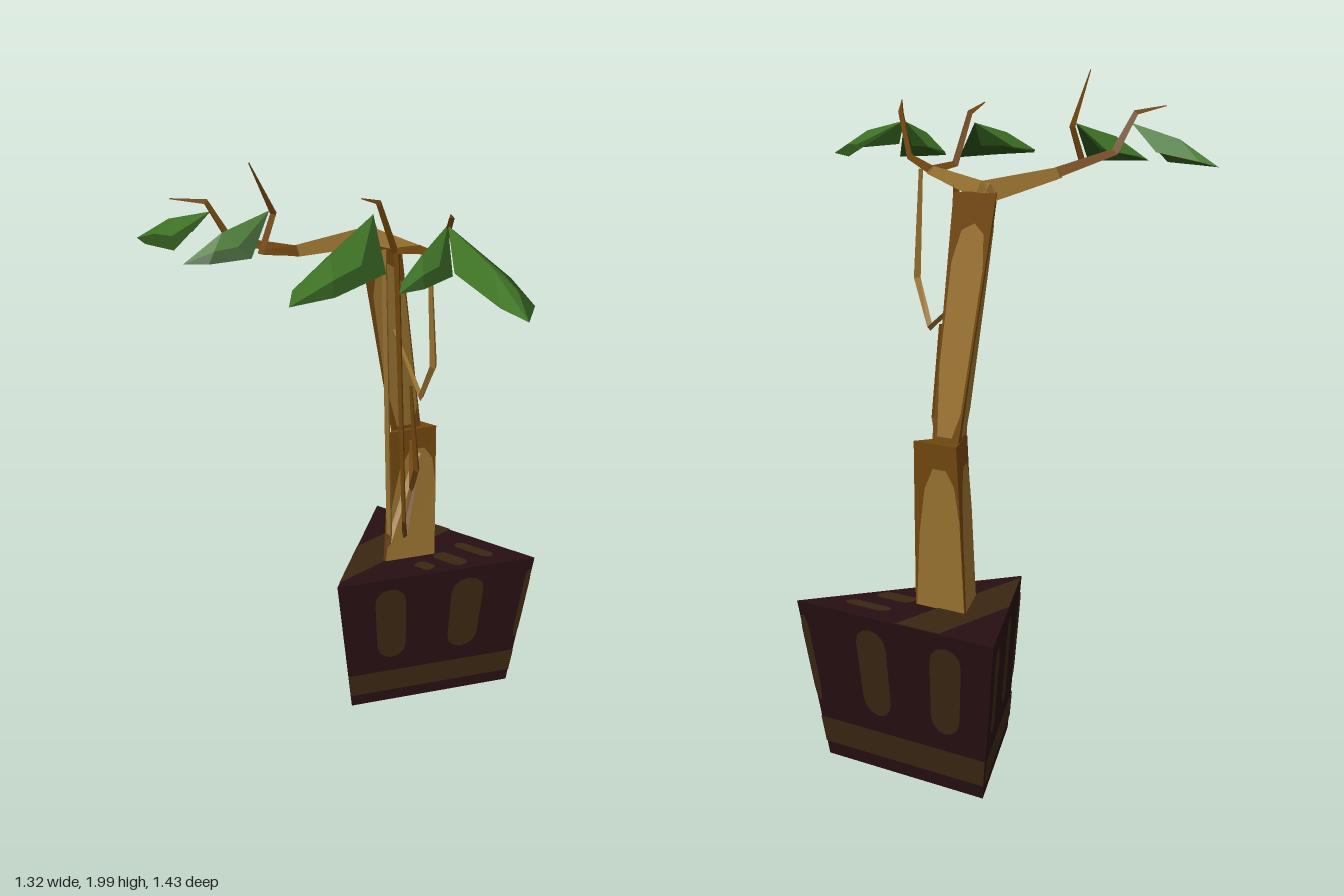
import * as THREE from 'three';

const V = (x, y, z) => new THREE.Vector3(x, y, z);
const mat = (name, color, extra = {}) => new THREE.MeshStandardMaterial({ name, color, ...extra });

export function createModel() {
  const root = new THREE.Group();
  root.name = 'pottedTree';
  const M = {
    pot: mat('darkClay', 0x270f12),
    stripe: mat('brownGlaze', 0x3a2611),
    bark: mat('lightBark', 0x977130),
    barkDark: mat('darkBark', 0x70460f),
    leaf: mat('leafGreen', 0x3f7426, { side: THREE.DoubleSide }),
    leafDark: mat('darkLeafGreen', 0x2a4f1a, { side: THREE.DoubleSide }),
  };

  // Flat-shaded mesh from a list of corner points, three per triangle
  const add = (name, points, material, parent = root) => {
    const g = new THREE.BufferGeometry().setFromPoints(points);
    g.computeVertexNormals();
    const m = new THREE.Mesh(g, material);
    m.name = name;
    parent.add(m);
    return m;
  };

  // Joins three-cornered rings and caps both ends
  const loft = (rings) => {
    const out = [];
    for (let k = 0; k < rings.length - 1; k++) {
      const a = rings[k], b = rings[k + 1];
      for (let i = 0; i < 3; i++) {
        const j = (i + 1) % 3;
        out.push(a[i], a[j], b[j], a[i], b[j], b[i]);
      }
    }
    const s = rings[0], e = rings[rings.length - 1];
    out.push(s[0], s[2], s[1], e[0], e[1], e[2]);
    return out;
  };

  // Thin painted patch: an outline in (u, v) mapped on a four-cornered face
  const patch = (name, [p, q, r, s], outline, material) => {
    const n = q.clone().sub(p).cross(s.clone().sub(p)).normalize().multiplyScalar(0.003);
    const pts = outline.map(([u, v]) =>
      p.clone().lerp(q, u).lerp(s.clone().lerp(r, u), v).add(n));
    const out = [];
    for (let i = 1; i < pts.length - 1; i++) out.push(pts[0], pts[i], pts[i + 1]);
    add(name, out, material);
  };
  const rect = (u0, u1, v0, v1) => [[u0, v0], [u1, v0], [u1, v1], [u0, v1]];
  // Long oval; ends are rounded over a fraction of its height
  const oval = (u0, u1, v0, v1, end = 0.18) => {
    const out = [], um = (u0 + u1) / 2, ru = (u1 - u0) / 2, rv = (v1 - v0) * end;
    for (let i = 0; i <= 6; i++) {
      const a = Math.PI + (i / 6) * Math.PI;
      out.push([um + ru * Math.cos(a), v0 + rv + rv * Math.sin(a)]);
    }
    for (let i = 0; i <= 6; i++) {
      const a = (i / 6) * Math.PI;
      out.push([um + ru * Math.cos(a), v1 - rv + rv * Math.sin(a)]);
    }
    return out;
  };
  const sides = (lo, hi) => [0, 1, 2].map((i) => [lo[i], lo[(i + 1) % 3], hi[(i + 1) % 3], hi[i]]);

  // Three-sided pot
  const potLow = [V(0.10, 0, -0.335), V(0.60, 0, -0.05), V(0.60, 0, -0.62)];
  const potTop = [V(0.04, 0.47, -0.34), V(0.66, 0.47, 0.02), V(0.66, 0.47, -0.70)];
  add('pot', loft([potLow, potTop]), M.pot);
  const ovals = [
    [[0.18, 0.34], [0.58, 0.75], [0.97, 1]],
    [[0, 0.04], [0.30, 0.46], [0.69, 0.85]],
    [[0.09, 0.23], [0.49, 0.64], [0.89, 1]],
  ];
  sides(potLow, potTop).forEach((face, i) => {
    patch('potBand', face, rect(0, 1, 0.085, 0.25), M.stripe);
    for (const [u0, u1] of ovals[i]) patch('potOval', face, oval(u0, u1, 0.36, 0.92), M.stripe);
  });

  // Painted marks on the soil face and underside, drawn in x and z
  const topFace = [V(0, 0.47, 0), V(1, 0.47, 0), V(1, 0.47, -1), V(0, 0.47, -1)];
  const underFace = [V(0, 0, 0), V(1, 0, 0), V(1, 0, 1), V(0, 0, 1)];
  patch('topBand', topFace, [[0.066, 0.355], [0.66, 0.355], [0.66, 0.51], [0.333, 0.51]], M.stripe);
  [[0.335, 0.385, 0.19], [0.43, 0.49, 0.13], [0.55, 0.595, 0.10]].forEach(([x0, x1, z]) =>
    patch('topOval', topFace, oval(x0, x1, z, 0.26), M.stripe));
  [[0.31, 0.36, -0.23], [0.41, 0.46, -0.18], [0.51, 0.56, -0.12]].forEach(([x0, x1, z]) =>
    patch('undersideOval', underFace, oval(x0, x1, -0.38, z), M.stripe));

  // Two-part trunk, dark at the joints with a light panel on each face
  const trunk = (name, lo, hi, outline) => {
    add(name, loft([lo, hi]), M.barkDark);
    for (const face of sides(lo, hi)) patch(name + 'Panel', face, outline, M.bark);
  };
  trunk('lowerTrunk',
    [V(0.30, 0.47, -0.36), V(0.465, 0.47, -0.27), V(0.465, 0.47, -0.45)],
    [V(0.30, 0.95, -0.33), V(0.455, 0.95, -0.255), V(0.455, 0.95, -0.41)],
    [[0.04, 0], [1, 0], [1, 0.55], [0.92, 0.76], [0.75, 0.85], [0.45, 0.85], [0.25, 0.72], [0.12, 0.45]]);
  trunk('upperTrunk',
    [V(0.32, 0.95, -0.34), V(0.42, 0.95, -0.295), V(0.42, 0.95, -0.39)],
    [V(0.13, 1.65, -0.31), V(0.245, 1.65, -0.235), V(0.245, 1.65, -0.39)],
    [[0.2, 0.02], [0.75, 0.02], [0.95, 0.12], [0.96, 0.7], [0.85, 0.84], [0.6, 0.88], [0.3, 0.85], [0.12, 0.72], [0.05, 0.3]]);

  // Tapered three-sided limb along a path of [x, y, z, radius]
  const limb = (name, path, material = M.bark) => {
    const p = path.map(([x, y, z]) => V(x, y, z));
    let n = null;
    const rings = p.map((c, i) => {
      const t = V(0, 0, 0);
      if (i > 0) t.add(c.clone().sub(p[i - 1]).normalize());
      if (i < p.length - 1) t.add(p[i + 1].clone().sub(c).normalize());
      t.normalize();
      n = n || (Math.abs(t.y) > 0.8 ? V(1, 0, 0) : V(0, 1, 0));
      n = n.clone().addScaledVector(t, -n.dot(t)).normalize();
      const b = t.clone().cross(n);
      return [0, 1, 2].map((k) => {
        const a = (k / 3) * Math.PI * 2, r = path[i][3];
        return c.clone().addScaledVector(n, r * Math.cos(a)).addScaledVector(b, r * Math.sin(a));
      });
    });
    add(name, loft(rings), material);
  };

  // Branches and their twigs
  limb('rightBranch', [[0.22, 1.645, -0.32, 0.04], [-0.18, 1.68, -0.302, 0.021]]);
  limb('frontBranch', [[0.21, 1.645, -0.34, 0.034], [0.055, 1.69, 0, 0.017]]);
  limb('rearTwig', [[-0.17, 1.68, -0.30, 0.02], [-0.36, 1.74, -0.39, 0.014],
    [-0.415, 1.86, -0.43, 0.01], [-0.51, 1.88, -0.48, 0.002]], M.barkDark);
  limb('uprightTwig', [[-0.17, 1.68, -0.30, 0.02], [-0.32, 1.71, -0.295, 0.014],
    [-0.27, 1.82, -0.29, 0.012], [-0.37, 1.99, -0.29, 0.002]], M.barkDark);
  limb('frontTwig', [[0.06, 1.69, -0.01, 0.016], [-0.04, 1.72, 0.16, 0.012],
    [-0.085, 1.86, 0.235, 0.01], [-0.18, 1.89, 0.31, 0.002]], M.barkDark);
  limb('sideTwig', [[0.06, 1.69, 0, 0.016], [-0.04, 1.705, -0.015, 0.013],
    [-0.095, 1.86, -0.03, 0.01], [-0.18, 1.89, -0.025, 0.002]], M.barkDark);

  // Hanging roots
  limb('outerRoot', [[0.01, 1.69, 0.08, 0.008], [0.015, 1.35, 0.092, 0.013],
    [0.075, 1.21, -0.01, 0.01], [0.24, 1.34, -0.26, 0.006]]);
  limb('middleRoot', [[0.10, 1.23, -0.07, 0.006], [0.118, 0.94, -0.06, 0.012],
    [0.175, 0.84, -0.13, 0.01], [0.34, 0.925, -0.27, 0.007]], M.barkDark);
  limb('longRoot', [[0.075, 1.66, -0.155, 0.01], [0.077, 0.71, -0.14, 0.011],
    [0.18, 0.61, -0.235, 0.01], [0.40, 0.86, -0.29, 0.012]]);
  limb('innerRoot', [[0.14, 1.66, -0.16, 0.012], [0.15, 0.73, -0.14, 0.008],
    [0.27, 0.61, -0.24, 0.01], [0.40, 0.86, -0.29, 0.012]], M.barkDark);

  // Tent-shaped leaf, wider on one side, sloping from its base to the tip
  const leaf = (bx, bz, tx, tz) => {
    const g = new THREE.Group();
    g.name = 'leaf';
    root.add(g);
    const len = Math.hypot(tx - bx, tz - bz), dx = (tx - bx) / len, dz = (tz - bz) / len;
    const at = (t, w, y) => V(bx + (dx * t + dz * w) * len, y, bz + (dz * t - dx * w) * len);
    const base = at(0, 0, 1.83), ridge = at(0.55, 0.01, 1.785), tip = at(1, 0, 1.705);
    const w1 = at(0.32, 0.21, 1.71), w2 = at(0.77, 0.135, 1.705);
    const n1 = at(0.34, -0.104, 1.745), n2 = at(0.82, -0.07, 1.72);
    add('leafNarrowSide', [base, ridge, n1, n1, ridge, n2, n2, ridge, tip], M.leaf, g);
    // Wide side: light by the ridge, dark along the margin
    const m1 = w1.clone().lerp(ridge, 0.45), m2 = w2.clone().lerp(ridge, 0.4);
    add('leafWideSide', [base, m1, ridge, m1, m2, ridge, m2, tip, ridge], M.leaf, g);
    add('leafMargin', [base, w1, m1, w1, w2, m1, m1, w2, m2, w2, tip, m2], M.leafDark, g);
  };
  leaf(-0.075, 0.215, -0.35, 0.715);
  leaf(-0.07, 0.21, -0.37, 0.28);
  leaf(-0.115, -0.035, -0.66, 0.133);
  leaf(-0.40, -0.425, -0.43, -0.72);
  leaf(-0.28, -0.30, -0.55, -0.395);

  return root;
}
